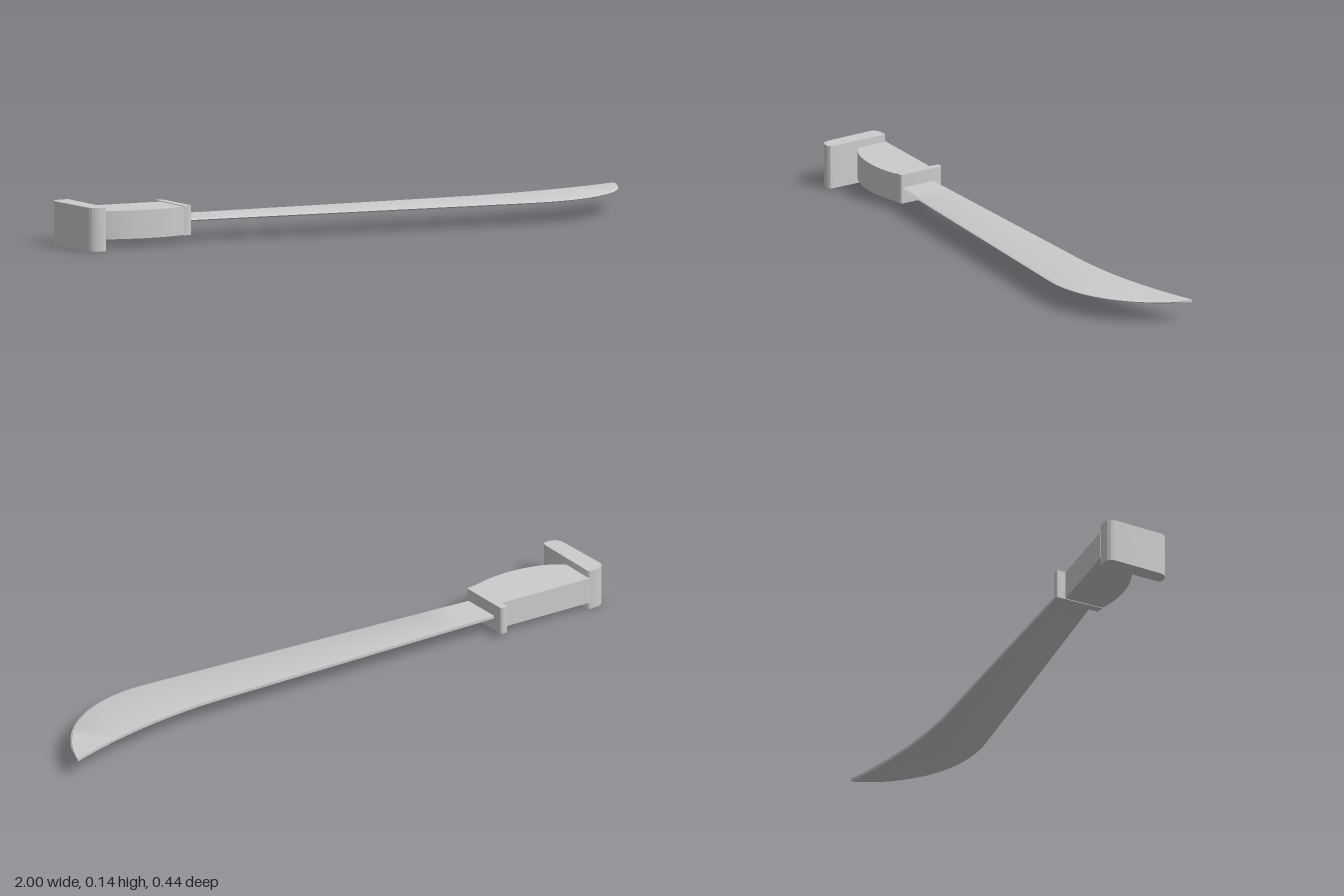
import * as THREE from 'three';
import { toCreasedNormals } from 'three/addons/utils/BufferGeometryUtils.js';

const material = new THREE.MeshStandardMaterial({ color: 0xcccccc, side: THREE.DoubleSide });
const MID_Y = 0.072;

// Upright slab from a plan outline drawn in x and -z
function slab(name, shape, height) {
  const geo = new THREE.ExtrudeGeometry(shape, { depth: height, bevelEnabled: false, curveSegments: 14 });
  geo.rotateX(-Math.PI / 2);
  geo.translate(0, MID_Y - height / 2, 0);
  const mesh = new THREE.Mesh(toCreasedNormals(geo, 0.7), material);
  mesh.name = name;
  return mesh;
}

// Closed plan outline with rounded corners, from [x, z, radius]
function roundedOutline(corners) {
  const shape = new THREE.Shape();
  const n = corners.length;
  const at = (i) => new THREE.Vector2(corners[(i + n) % n][0], -corners[(i + n) % n][1]);
  corners.forEach(([, , r], i) => {
    const p = at(i);
    const a = at(i - 1).sub(p).setLength(r).add(p);
    const b = at(i + 1).sub(p).setLength(r).add(p);
    if (i === 0) shape.moveTo(a.x, a.y);
    else shape.lineTo(a.x, a.y);
    shape.quadraticCurveTo(p.x, p.y, b.x, b.y);
  });
  shape.closePath();
  return shape;
}

// Curved blade: thick flat spine, narrow bevel down to the cutting edge
function makeBlade() {
  const v = (x, z) => new THREE.Vector3(x, MID_Y, z);
  const spine = new THREE.CurvePath();
  spine.add(new THREE.LineCurve3(v(-0.615, -0.02), v(0.42, -0.08)));
  spine.add(new THREE.CubicBezierCurve3(v(0.42, -0.08), v(0.62, -0.092), v(0.83, -0.145), v(1, -0.218)));
  const edge = new THREE.CurvePath();
  edge.add(new THREE.LineCurve3(v(-0.58, 0.107), v(0.6, 0.107)));
  edge.add(new THREE.CubicBezierCurve3(v(0.6, 0.107), v(0.82, 0.107), v(0.985, -0.03), v(1, -0.218)));

  const steps = 64, half = 0.005, ring = 5;
  const pos = [], index = [];
  for (let i = 0; i <= steps; i++) {
    const s = spine.getPointAt(i / steps);
    const e = edge.getPointAt(i / steps);
    const b = s.clone().lerp(e, 0.94);
    [[s, half], [b, half * 0.9], [e, 0], [b, -half * 0.9], [s, -half]].forEach(([p, dy]) =>
      pos.push(p.x, p.y + dy, p.z));
  }
  for (let i = 0; i < steps; i++) {
    for (let k = 0; k < ring; k++) {
      const a = i * ring + k, b = i * ring + (k + 1) % ring;
      index.push(a, b, b + ring, a, b + ring, a + ring);
    }
  }
  // Cap inside the guard
  for (let k = 1; k < ring - 1; k++) index.push(0, k + 1, k);

  const geo = new THREE.BufferGeometry();
  geo.setAttribute('position', new THREE.Float32BufferAttribute(pos, 3));
  geo.setIndex(index);
  const mesh = new THREE.Mesh(toCreasedNormals(geo, 0.5), material);
  mesh.name = 'blade';
  return mesh;
}

export function createModel() {
  const group = new THREE.Group();
  group.name = 'machete';
  group.add(makeBlade());

  // Grip with a straight back and a bellied front
  const grip = new THREE.Shape();
  grip.moveTo(-0.95, 0.01);
  grip.lineTo(-0.925, -0.09);
  grip.bezierCurveTo(-0.87, -0.145, -0.7, -0.165, -0.575, -0.107);
  grip.lineTo(-0.61, 0.022);
  grip.closePath();
  group.add(slab('grip', grip, 0.092));

  // Slanted crossguard
  group.add(slab('guard', roundedOutline([
    [-0.629, -0.054, 0.008], [-0.591, 0.114, 0.004], [-0.562, 0.107, 0.004], [-0.604, -0.054, 0.008],
  ]), 0.096));

  // Slanted pommel with rounded ends
  group.add(slab('pommel', roundedOutline([
    [-1.006, -0.002, 0.034], [-0.943, 0.217, 0.03], [-0.885, 0.219, 0.024], [-0.942, -0.009, 0.008],
  ]), 0.142));

  // Rest on the ground
  group.position.y = 0.142 / 2 - MID_Y;
  return group;
}
